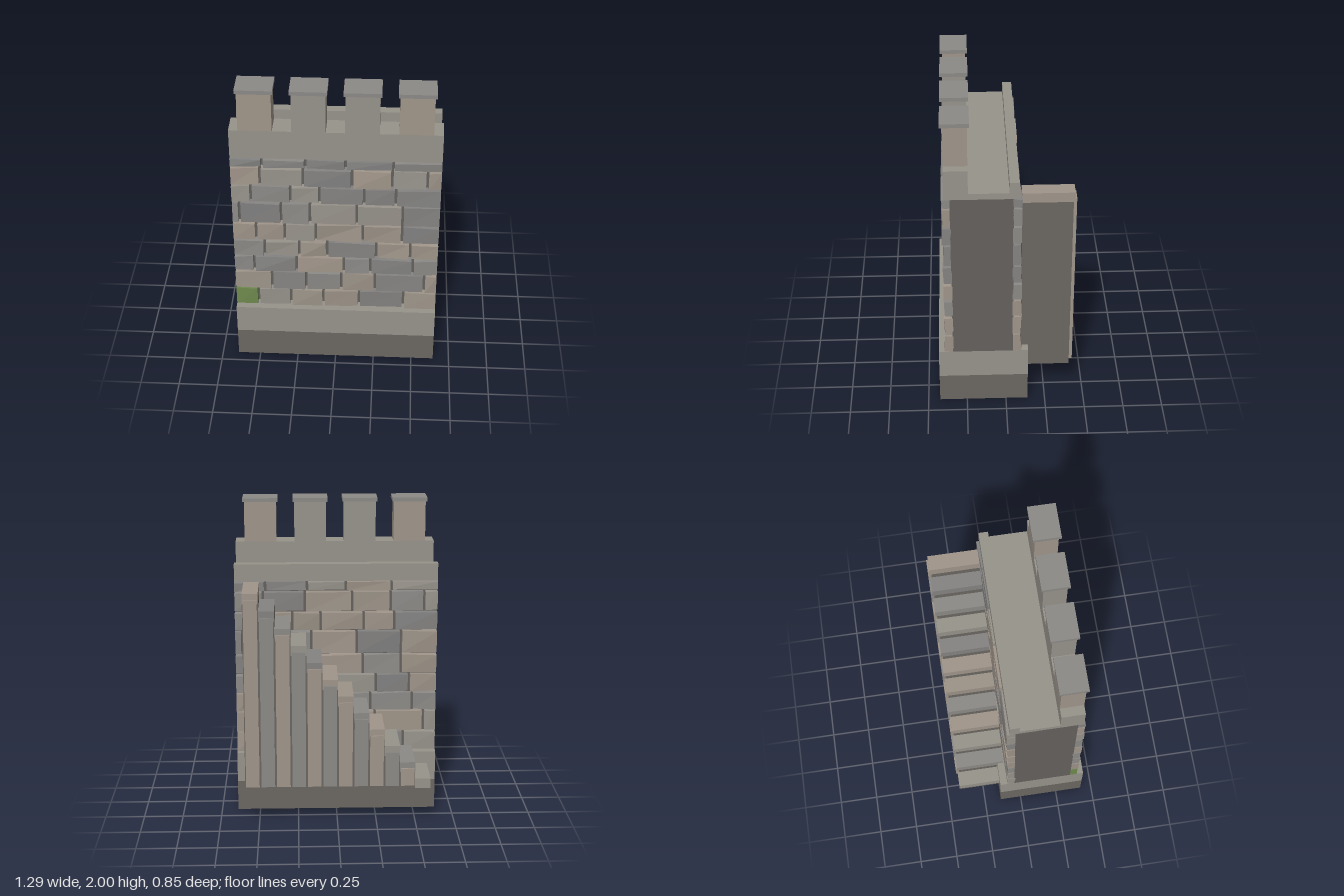
import * as THREE from 'three';

const GREY = 0x97938b, DARK = 0x6b6762, MORTAR = 0x64615d;
const TONES = [0x9c9388, 0x8c8a87, 0x97938b, 0x848382, 0xa0958a];
const HALF = 0.645;

const materials = new Map();
function material(color) {
  if (!materials.has(color)) materials.set(color, new THREE.MeshStandardMaterial({ color, flatShading: true }));
  return materials.get(color);
}

// Box given by its lower and upper limits on each axis
function block(parent, name, color, x0, x1, y0, y1, z0, z1) {
  const geometry = new THREE.BoxGeometry(x1 - x0, y1 - y0, z1 - z0);
  const mesh = new THREE.Mesh(geometry, material(color));
  mesh.position.set((x0 + x1) / 2, (y0 + y1) / 2, (z0 + z1) / 2);
  mesh.name = name;
  parent.add(mesh);
  return mesh;
}

function seeded(seed) {
  return () => {
    seed = (seed * 16807) % 2147483647;
    return seed / 2147483647;
  };
}

// Masonry courses: bottom, top and the joint positions from left to right
const COURSES = [
  [0.39, 0.513, [-0.5, -0.29, -0.08, 0.15, 0.435]],
  [0.525, 0.652, [-0.41, -0.19, 0.035, 0.25, 0.565]],
  [0.665, 0.775, [-0.52, -0.25, 0.05, 0.22, 0.49]],
  [0.79, 0.9, [-0.45, -0.23, -0.055, 0.255, 0.47]],
  [0.915, 1.035, [-0.5, -0.32, -0.125, 0.17, 0.415]],
  [1.048, 1.19, [-0.6, -0.34, -0.16, 0.13, 0.415]],
  [1.205, 1.315, [-0.525, -0.28, -0.1, 0.175, 0.37]],
  [1.33, 1.45, [-0.465, -0.2, 0.1, 0.345, 0.56]],
  [1.462, 1.517, [-0.45, -0.185, 0.06, 0.35]],
];

// Nudge the outer corners of a stone so that it looks hand cut
function roughen(geometry, side, random) {
  const nudges = Array.from({ length: 4 }, () => [random() - 0.5, random() - 0.5]);
  const p = geometry.attributes.position;
  for (let i = 0; i < p.count; i++) {
    if (p.getZ(i) * side < 0) continue;
    const [dy, dz] = nudges[(p.getX(i) > 0 ? 1 : 0) + (p.getY(i) > 0 ? 2 : 0)];
    p.setY(i, p.getY(i) + dy * 0.01);
    p.setZ(i, p.getZ(i) + dz * 0.012);
  }
  geometry.computeVertexNormals();
}

function stoneFace(name, side, z0, z1, seed) {
  const group = new THREE.Group();
  group.name = name;
  const random = seeded(seed);
  COURSES.forEach(([y0, y1, joints], row) => {
    const edges = [-HALF, ...joints, HALF];
    for (let i = 0; i < edges.length - 1; i++) {
      const a = i === 0 ? -HALF : edges[i] + 0.008;
      const b = i === edges.length - 2 ? HALF : edges[i + 1] - 0.008;
      const mossy = side > 0 && row === 0 && i === 0;
      const color = mossy ? 0x6f8a4e : TONES[Math.floor(random() * TONES.length)];
      // The back face uses the same bond turned around
      const [x0, x1] = side > 0 ? [a, b] : [-b, -a];
      const stone = block(group, mossy ? 'mossyStone' : 'stone', color, x0, x1, y0, y1, z0, z1);
      roughen(stone.geometry, side, random);
    }
  });
  return group;
}

function battlements() {
  const group = new THREE.Group();
  group.name = 'battlements';
  block(group, 'walkway', GREY, -HALF, HALF, 1.52, 1.56, -0.08, 0.37);
  block(group, 'backKerb', GREY, -HALF, HALF, 1.56, 1.63, -0.08, -0.02);
  block(group, 'parapet', GREY, -HALF, HALF, 1.56, 1.715, 0.225, 0.37);
  [-0.485, -0.162, 0.16, 0.483].forEach((x, i) => {
    const color = [0xa0958a, 0x97938b, 0x97938b, 0xa0958a][i];
    block(group, 'merlon', color, x - 0.103, x + 0.103, 1.715, 1.975, 0.225, 0.37);
    block(group, 'merlonCap', 0x8c8a87, x - 0.113, x + 0.113, 1.975, 2, 0.212, 0.385);
  });
  return group;
}

// Stair rising towards +x along the back of the wall
function staircase() {
  const group = new THREE.Group();
  group.name = 'staircase';
  const pitch = 0.098, start = -0.59;
  const treadTones = [0x97938b, 0x8c8a87, 0x97938b, 0xa0958a, 0x8c8a87, 0x9c9388,
    0xa0958a, 0x848382, 0x97938b, 0x8c8a87, 0x848382, 0xa0958a];
  for (let i = 0; i < 12; i++) {
    const x0 = start + i * pitch, x1 = x0 + pitch;
    const top = 0.31 + i * 0.11;
    block(group, 'stepBody', DARK, x0, x1, 0.23, top - 0.065, -0.405, -0.097);
    block(group, 'tread', treadTones[i], x0, x1, top - 0.065, top, -0.415, -0.097);
    if (i > 0) {
      const tone = i % 2 ? 0xa0958a : 0x8c8a87;
      block(group, 'sidePanel', tone, x0 + 0.006, x1 - 0.006, 0.265, top - 0.04, -0.425, -0.4);
    }
  }
  return group;
}

export function createModel() {
  const model = new THREE.Group();
  model.name = 'castleWallWithStairs';

  // Plinth in two bands
  block(model, 'lowerPlinth', DARK, -HALF, HALF, 0, 0.195, -0.14, 0.425);
  block(model, 'upperPlinth', GREY, -HALF, HALF, 0.195, 0.39, -0.14, 0.425);

  // Wall core with a stone facing on both long sides
  block(model, 'wallCore', MORTAR, -HALF, HALF, 0.39, 1.52, -0.045, 0.335);
  model.add(stoneFace('frontStones', 1, 0.33, 0.382, 11));
  model.add(stoneFace('backStones', -1, -0.093, -0.04, 47));

  model.add(battlements(), staircase());
  return model;
}
